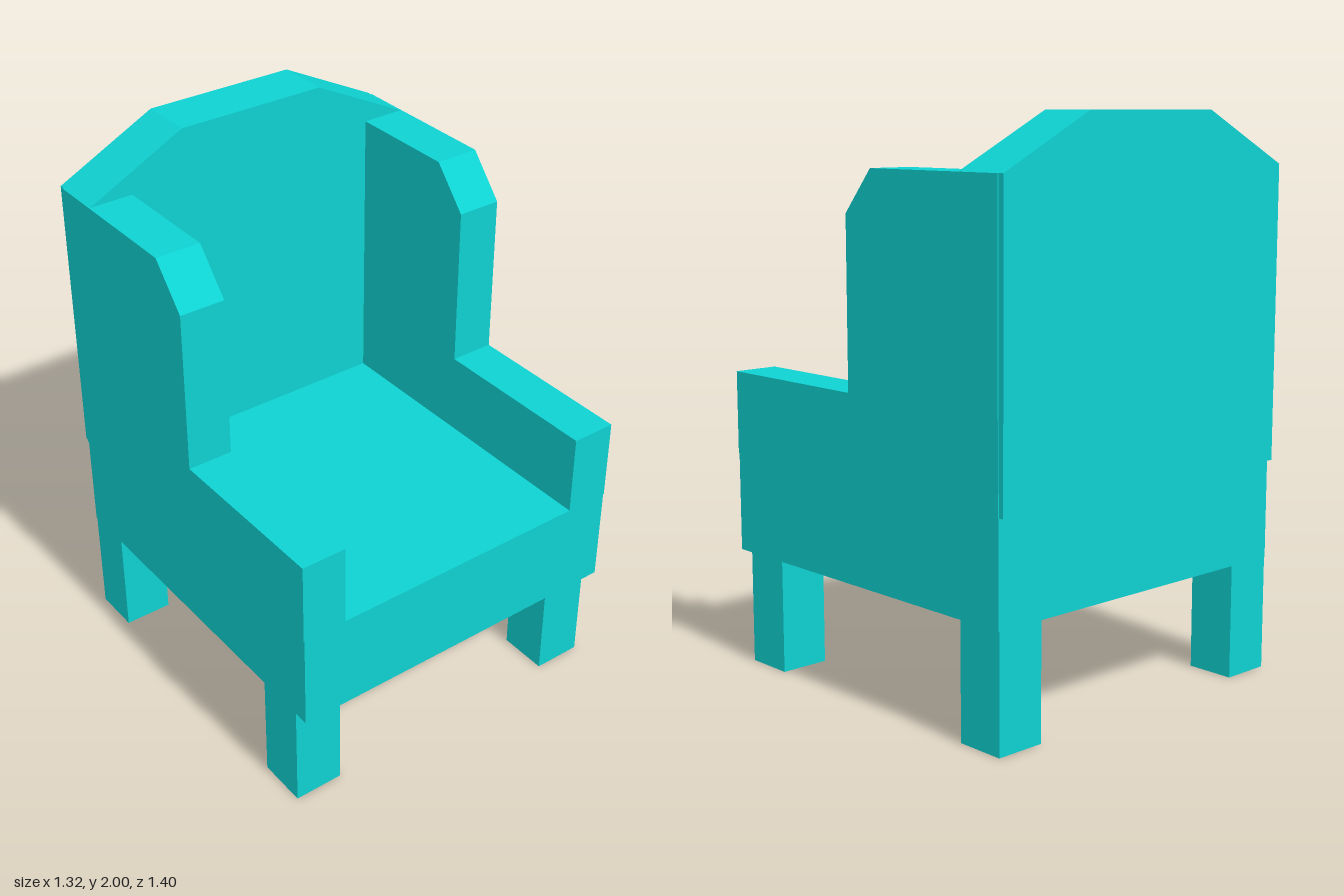
import * as THREE from 'three';

export function createModel() {
  const chair = new THREE.Group();
  chair.name = 'wingArmchair';
  const material = new THREE.MeshStandardMaterial({ color: 0x0fd2d2, flatShading: true });

  const add = (name, geometry) => {
    const mesh = new THREE.Mesh(geometry, material);
    mesh.name = name;
    chair.add(mesh);
    return mesh;
  };
  const box = (name, x0, x1, y0, y1, z0, z1) =>
    add(name, new THREE.BoxGeometry(x1 - x0, y1 - y0, z1 - z0)
      .translate((x0 + x1) / 2, (y0 + y1) / 2, (z0 + z1) / 2));
  const slab = (points, depth) => new THREE.ExtrudeGeometry(
    new THREE.Shape(points.map(([x, y]) => new THREE.Vector2(x, y))),
    { depth, bevelEnabled: false });

  // Seat block
  box('seat', -0.655, 0.655, 0.41, 0.77, -0.68, 0.7);

  // Backrest with sloped top corners
  add('backrest', slab([
    [-0.654, 0.77], [0.654, 0.77], [0.654, 1.815], [0.285, 2], [-0.285, 2], [-0.654, 1.815],
  ], 0.2).translate(0, 0, -0.7));

  // Armrest and wing as one side profile, drawn as (-z, y) and turned to run along x
  const sideProfile = [
    [-0.7, 0.77], [0.68, 0.77], [0.68, 1.815], [0.08, 1.815], [-0.05, 1.665], [-0.05, 1.07], [-0.7, 1.07],
  ];
  for (const [side, x] of [['left', 0.492], ['right', -0.658]]) {
    add(side + 'ArmAndWing', slab(sideProfile, 0.166).rotateY(Math.PI / 2).translate(x, 0, 0));
  }

  // Square legs
  for (const [side, x0, x1] of [['left', 0.47, 0.652], ['right', -0.652, -0.47]]) {
    box(side + 'FrontLeg', x0, x1, 0, 0.41, 0.455, 0.64);
    box(side + 'BackLeg', x0, x1, 0, 0.41, -0.68, -0.5);
  }

  return chair;
}
